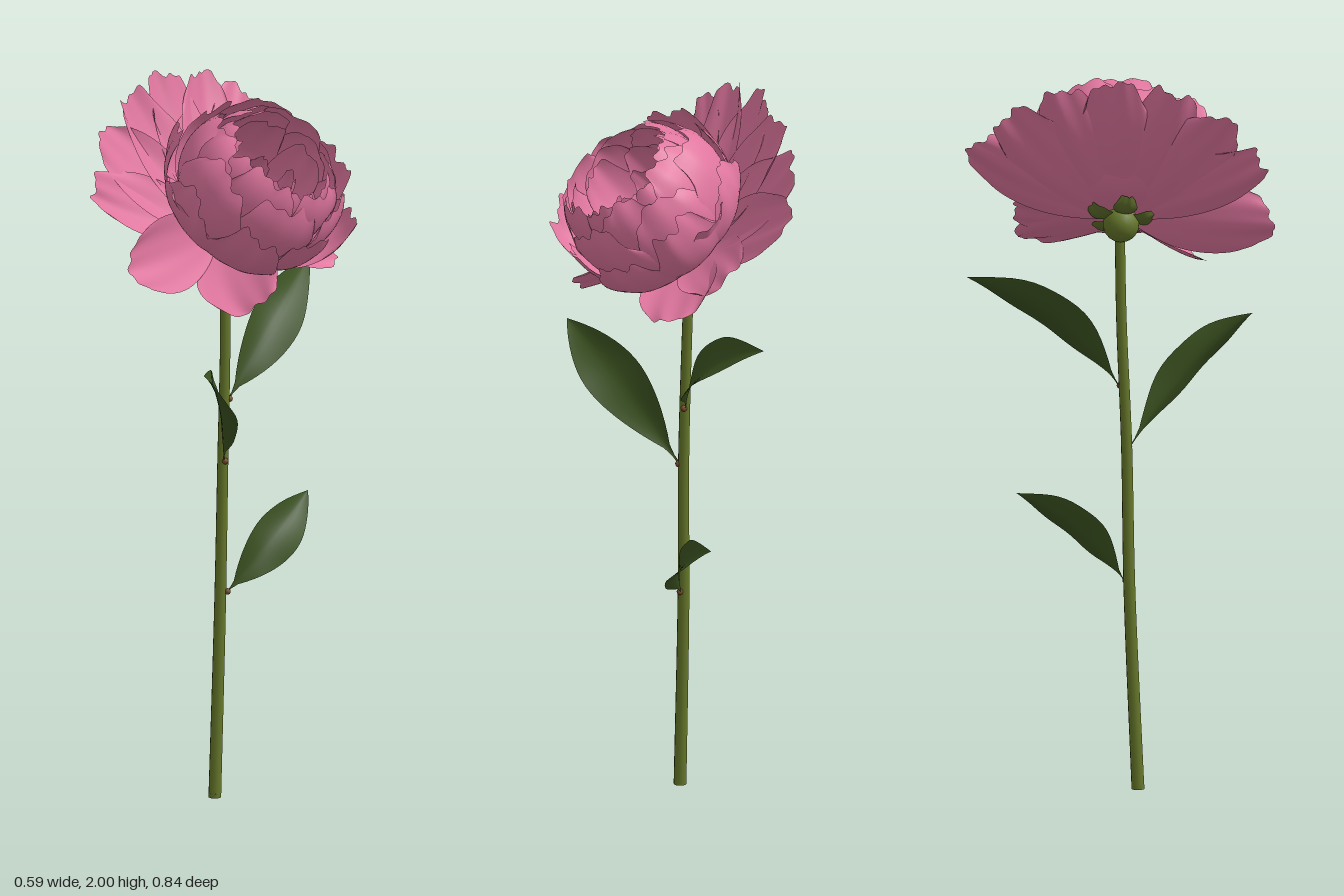
import * as THREE from 'three';

const mat = (name, color, side = THREE.DoubleSide) => {
  const m = new THREE.MeshStandardMaterial({ color, side });
  m.name = name;
  return m;
};

// Smooth surface from a rule f(u, v), with u in [-1, 1] and v in [0, 1]
function surface(nu, nv, f) {
  const pos = [], index = [];
  for (let j = 0; j <= nv; j++) {
    for (let i = 0; i <= nu; i++) pos.push(...f(-1 + (2 * i) / nu, j / nv));
  }
  for (let j = 0; j < nv; j++) {
    for (let i = 0; i < nu; i++) {
      const a = j * (nu + 1) + i, b = a + 1, c = a + nu + 1, d = c + 1;
      index.push(a, c, b, b, c, d);
    }
  }
  const g = new THREE.BufferGeometry();
  g.setAttribute('position', new THREE.Float32BufferAttribute(pos, 3));
  g.setIndex(index);
  g.computeVertexNormals();
  return g;
}

// Broad petal along a curved (radius, height) profile, cupped with radius K and rolled about its midline
function petalGeometry({ az, c1, c2, tip, W, K, roll = 0, ruffle = 0.005, notch = 0.04, seed = 0 }) {
  const curve = new THREE.CubicBezierCurve(
    new THREE.Vector2(0.015, 0), new THREE.Vector2(...c1), new THREE.Vector2(...c2), new THREE.Vector2(...tip));
  const ca = Math.cos(az), sa = Math.sin(az);
  const cr = Math.cos(roll), sr = Math.sin(roll);
  return surface(24, 16, (u, v) => {
    const trim = 1 - 0.18 * u ** 4 - notch * (0.5 + 0.5 * Math.sin(u * 5 + seed)) * v
      - notch * 0.3 * Math.sin(u * 13 + seed * 2) * v;
    const t = Math.min(1, v * trim);
    const p = curve.getPoint(t), d = curve.getTangent(t);
    const grow = 0.2 + 0.8 * Math.sin(Math.min(1, v / 0.7) * Math.PI / 2);
    const close = v > 0.7 ? Math.sqrt(1 - 0.4 * ((v - 0.7) / 0.3) ** 2) : 1;
    const a = (u * W * grow * close) / K;
    const cup = K * (1 - Math.cos(a))
      + ruffle * v * v * (Math.sin(u * 4 + seed * 3) + 0.35 * Math.sin(u * 10 + seed));
    const s = K * Math.sin(a) * cr - cup * sr, lift = K * Math.sin(a) * sr + cup * cr;
    const r = p.x - d.y * lift, h = p.y + d.x * lift;
    return [r * ca - s * sa, h, r * sa + s * ca];
  });
}

// Leaf blade through base, mid and tip, folded along the midrib
function leafGeometry(base, mid, tip, side) {
  const [b, m, t] = [base, mid, tip].map((p) => new THREE.Vector3(...p));
  const ctrl = m.clone().multiplyScalar(2).addScaledVector(b, -0.5).addScaledVector(t, -0.5);
  const curve = new THREE.QuadraticBezierCurve3(b, ctrl, t);
  const across = new THREE.Vector3(...side);
  return surface(10, 20, (u, v) => {
    const w = 0.04 * (1 - v) + 0.96 * Math.max(0, Math.sin(Math.PI * Math.max(0, (v - 0.08) / 0.92) ** 0.95));
    const up = curve.getTangent(v).cross(across).normalize();
    if (up.y < 0) up.negate();
    const p = curve.getPoint(v).addScaledVector(across, u * w);
    p.addScaledVector(up, 0.022 * w * Math.abs(u) ** 1.5 + 0.004 * u * w * Math.sin(v * 14));
    return p.toArray();
  });
}

export function createModel() {
  const model = new THREE.Group();
  model.name = 'flower';
  const pink = mat('petal pink', 0xe0769e);
  const leafGreen = mat('leaf green', 0x3b5220);
  const stemGreen = mat('stem green', 0x65762a, THREE.FrontSide);
  const sepalGreen = mat('sepal green', 0x5c6c2a);
  const nodeBrown = mat('node brown', 0x74492a, THREE.FrontSide);

  const add = (parent, name, geometry, material) => {
    const mesh = new THREE.Mesh(geometry, material);
    mesh.name = name;
    parent.add(mesh);
    return mesh;
  };

  // Stem, slightly bent and thinner toward the top
  const path = new THREE.CatmullRomCurve3([
    [-0.055, 0.005, 0.045], [-0.055, 0.55, 0.022], [-0.052, 0.95, 0.014],
    [-0.055, 1.3, 0], [-0.063, 1.56, -0.004],
  ].map((p) => new THREE.Vector3(...p)));
  const stem = new THREE.TubeGeometry(path, 40, 0.0175, 12);
  const sp = stem.attributes.position;
  for (let i = 0; i < sp.count; i++) {
    const c = path.getPointAt(Math.floor(i / 13) / 40);
    const k = 1 - 0.22 * (c.y / 1.56);
    sp.setXYZ(i, c.x + (sp.getX(i) - c.x) * k, c.y + (sp.getY(i) - c.y) * k, c.z + (sp.getZ(i) - c.z) * k);
  }
  add(model, 'stem', stem, stemGreen);
  const end = add(model, 'stemEnd', new THREE.CylinderGeometry(0.0175, 0.0175, 0.012, 12), stemGreen);
  end.position.set(-0.055, 0.006, 0.045);

  // Leaves: base, mid, tip, half-width vector
  const leaves = [
    [[-0.045, 0.94, 0.02], [0.07, 1.15, 0.18], [0.15, 1.285, 0.345], [0.062, -0.043, 0.03]],
    [[-0.05, 1.11, -0.005], [-0.035, 1.29, -0.175], [-0.1, 1.42, -0.42], [0.044, -0.052, -0.03]],
    [[-0.045, 0.57, 0.01], [0.012, 0.7, -0.12], [0, 0.805, -0.29], [0.04, -0.044, -0.028]],
  ];
  leaves.forEach((l, i) => {
    add(model, `leaf${i + 1}`, leafGeometry(...l), leafGreen);
    const node = add(model, `leafNode${i + 1}`, new THREE.SphereGeometry(0.009, 10, 8), nodeBrown);
    node.position.set(l[0][0] + 0.006, l[0][1] + 0.005, l[0][2]);
  });

  // Bloom, leaning toward +x
  const bloom = new THREE.Group();
  bloom.name = 'bloom';
  bloom.position.set(-0.06, 1.59, 0);
  bloom.rotation.z = -0.7;
  model.add(bloom);

  const calyx = add(bloom, 'calyx', new THREE.SphereGeometry(0.05, 18, 12), stemGreen);
  calyx.position.set(0.008, -0.024, 0);
  for (let i = 0; i < 5; i++) {
    add(bloom, 'sepal', petalGeometry({
      az: i * 1.2566 + 0.4, c1: [0.05, -0.035], c2: [0.08, -0.03], tip: [0.1, 0.005],
      W: 0.035, K: 0.06, ruffle: 0.003, seed: i,
    }), sepalGreen);
  }

  // Open guard petals: azimuth in degrees, tip radius, tip height, half width, roll
  const guards = [
    [180, 0.44, 0.17, 0.11, 0], [158, 0.44, 0.16, 0.11, 0.15], [202, 0.44, 0.16, 0.11, -0.15],
    [138, 0.46, 0.11, 0.11, 0.3], [221, 0.46, 0.12, 0.11, -0.3], [120, 0.46, 0.05, 0.09, 0.4],
    [240, 0.47, 0.08, 0.1, -0.4], [87, 0.42, -0.01, 0.11, 0.6], [31, 0.34, 0.06, 0.12, -0.85],
    [272, 0.3, 0.01, 0.11, 0], [305, 0.34, 0.03, 0.12, 0.2], [102, 0.31, 0.18, 0.11, 0],
    [256, 0.31, 0.18, 0.11, 0],
  ];
  guards.forEach(([deg, r, h, W, roll], i) => add(bloom, 'guardPetal', petalGeometry({
    az: deg * Math.PI / 180, c1: [r * 0.35, h * 0.15 - 0.01], c2: [r * 0.7, h * 0.5 - 0.01], tip: [r, h],
    W, K: 0.26, roll, ruffle: 0.007, notch: 0.045, seed: i * 1.7,
  }), pink));

  // Nested rings of cupped petals, from the loose skirt to the heart around an open centre
  const rings = [
    { name: 'skirtPetal', n: 8, c1: [0.18, -0.01], c2: [0.265, 0.1], tip: [0.24, 0.25], W: 0.12, K: 0.24, wide: 0.045 },
    { name: 'cupPetal', n: 6, c1: [0.23, -0.01], c2: [0.27, 0.22], tip: [0.18, 0.31], W: 0.15, K: 0.2, wide: 0.01 },
    { name: 'ballPetal', n: 6, c1: [0.2, 0], c2: [0.255, 0.28], tip: [0.14, 0.345], W: 0.13, K: 0.18, wide: 0 },
    { name: 'innerPetal', n: 6, c1: [0.175, 0.01], c2: [0.22, 0.27], tip: [0.13, 0.33], W: 0.11, K: 0.16, wide: 0 },
    { name: 'corePetal', n: 5, c1: [0.15, 0.02], c2: [0.18, 0.23], tip: [0.115, 0.31], W: 0.1, K: 0.13, wide: 0 },
    { name: 'heartPetal', n: 4, c1: [0.08, 0.05], c2: [0.12, 0.16], tip: [0.06, 0.25], W: 0.06, K: 0.08, wide: 0 },
  ];
  rings.forEach(({ name, n, c1, c2, tip, W, K, wide }, k) => {
    for (let i = 0; i < n; i++) {
      const az = ((i + k * 0.45 + 0.1) / n) * Math.PI * 2;
      const seed = i * 2.3 + k * 1.1;
      const grow = wide * Math.abs(Math.sin(az)) + (i % 2) * 0.01;
      add(bloom, name, petalGeometry({
        az, c1, c2: [c2[0] + grow, c2[1]], tip: [tip[0] + grow, tip[1] + 0.015 * Math.sin(seed)],
        W, K, ruffle: 0.005, notch: 0.07, seed,
      }), pink);
    }
  });
  return model;
}
